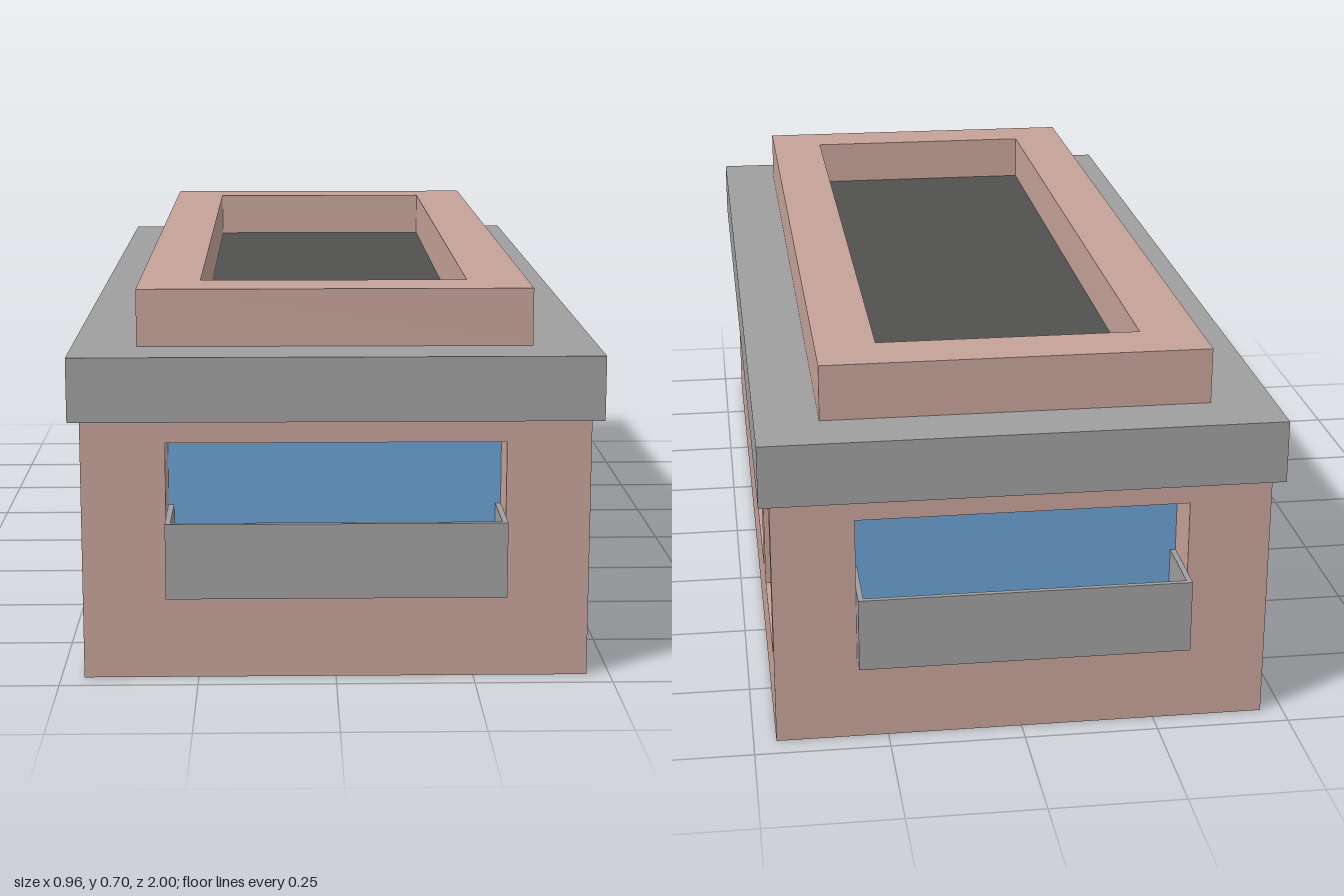
import * as THREE from 'three';

const mat = (color) => new THREE.MeshStandardMaterial({ color, flatShading: true });
const brick = mat(0xc4a298), stone = mat(0x9e9e9e), roofing = mat(0x50524e), glass = mat(0x6a9fd0);

// Main dimensions
const X = 0.458, Z = 0.955, WALL_TOP = 0.478;
const SILL = 0.16, HEAD = 0.436;
const SIDE_DEPTH = 0.05, END_DEPTH = 0.1;

function box(parent, name, material, [x0, x1], [y0, y1], [z0, z1]) {
  const mesh = new THREE.Mesh(new THREE.BoxGeometry(x1 - x0, y1 - y0, z1 - z0), material);
  mesh.position.set((x0 + x1) / 2, (y0 + y1) / 2, (z0 + z1) / 2);
  mesh.name = name;
  parent.add(mesh);
  return mesh;
}

function rect(Type, x0, x1, y0, y1) {
  return new Type([[x0, y0], [x1, y0], [x1, y1], [x0, y1]].map((p) => new THREE.Vector2(...p)));
}

// Slab with rectangular holes, outer face at local z = 0, thickness running to -z
function slab(name, outline, holes, depth) {
  const shape = rect(THREE.Shape, ...outline);
  shape.holes = holes.map((h) => rect(THREE.Path, ...h));
  const geo = new THREE.ExtrudeGeometry(shape, { depth, bevelEnabled: false });
  geo.translate(0, 0, -depth);
  const mesh = new THREE.Mesh(geo, brick);
  mesh.name = name;
  return mesh;
}

// Long wall with five recessed windows
function sideWall(name) {
  const wall = new THREE.Group();
  wall.name = name;
  const holes = [-2, -1, 0, 1, 2].map((i) => [i * 0.383 - 0.152, i * 0.383 + 0.152, SILL, HEAD]);
  wall.add(slab('sideBrickwork', [-Z, Z, 0, WALL_TOP], holes, SIDE_DEPTH));
  for (const [a, b] of holes) {
    box(wall, 'sideWindow', glass, [a, b], [SILL, HEAD], [-SIDE_DEPTH - 0.01, -SIDE_DEPTH]);
  }
  return wall;
}

// Short wall with one wide window and a hollow balcony
function endWall(name) {
  const wall = new THREE.Group();
  wall.name = name;
  const w = 0.306, t = 0.01, out = 0.045, rail = 0.298;
  const x = X - SIDE_DEPTH;
  wall.add(slab('endBrickwork', [-x, x, 0, WALL_TOP], [[-w, w, SILL, HEAD]], END_DEPTH));
  box(wall, 'endWindow', glass, [-w, w], [SILL, HEAD], [-END_DEPTH - 0.01, -END_DEPTH]);
  box(wall, 'balconyFront', stone, [-w, w], [SILL, rail], [out - t, out]);
  box(wall, 'balconyFloor', stone, [-w + t, w - t], [SILL, SILL + t], [-END_DEPTH, out - t]);
  for (const s of [-1, 1]) {
    const xs = s < 0 ? [-w, -w + t] : [w - t, w];
    box(wall, 'balconySide', stone, xs, [SILL, rail], [-END_DEPTH, out - t]);
  }
  return wall;
}

export function createModel() {
  const model = new THREE.Group();
  model.name = 'building';

  // Walls, mirrored by half turns
  for (const s of [1, -1]) {
    const side = sideWall(s > 0 ? 'leftWall' : 'rightWall');
    side.rotation.y = s * Math.PI / 2;
    side.position.x = s * X;
    const end = endWall(s > 0 ? 'frontWall' : 'backWall');
    end.rotation.y = s > 0 ? 0 : Math.PI;
    end.position.z = s * Z;
    model.add(side, end);
  }
  const ix = X - SIDE_DEPTH, iz = Z - END_DEPTH;
  box(model, 'groundSlab', brick, [-ix, ix], [0, 0.02], [-iz, iz]);

  // Overhanging cornice
  box(model, 'cornice', stone, [-0.478, 0.478], [WALL_TOP, 0.595], [-0.977, 0.977]);

  // Parapet ring around the sunken roof
  const parapet = slab('parapet', [-0.36, 0.36, -0.865, 0.865], [[-0.247, 0.247, -0.753, 0.753]], 0.105);
  parapet.rotation.x = -Math.PI / 2;
  parapet.position.y = 0.7;
  model.add(parapet);
  box(model, 'roofDeck', roofing, [-0.247, 0.247], [0.595, 0.605], [-0.753, 0.753]);

  return model;
}
